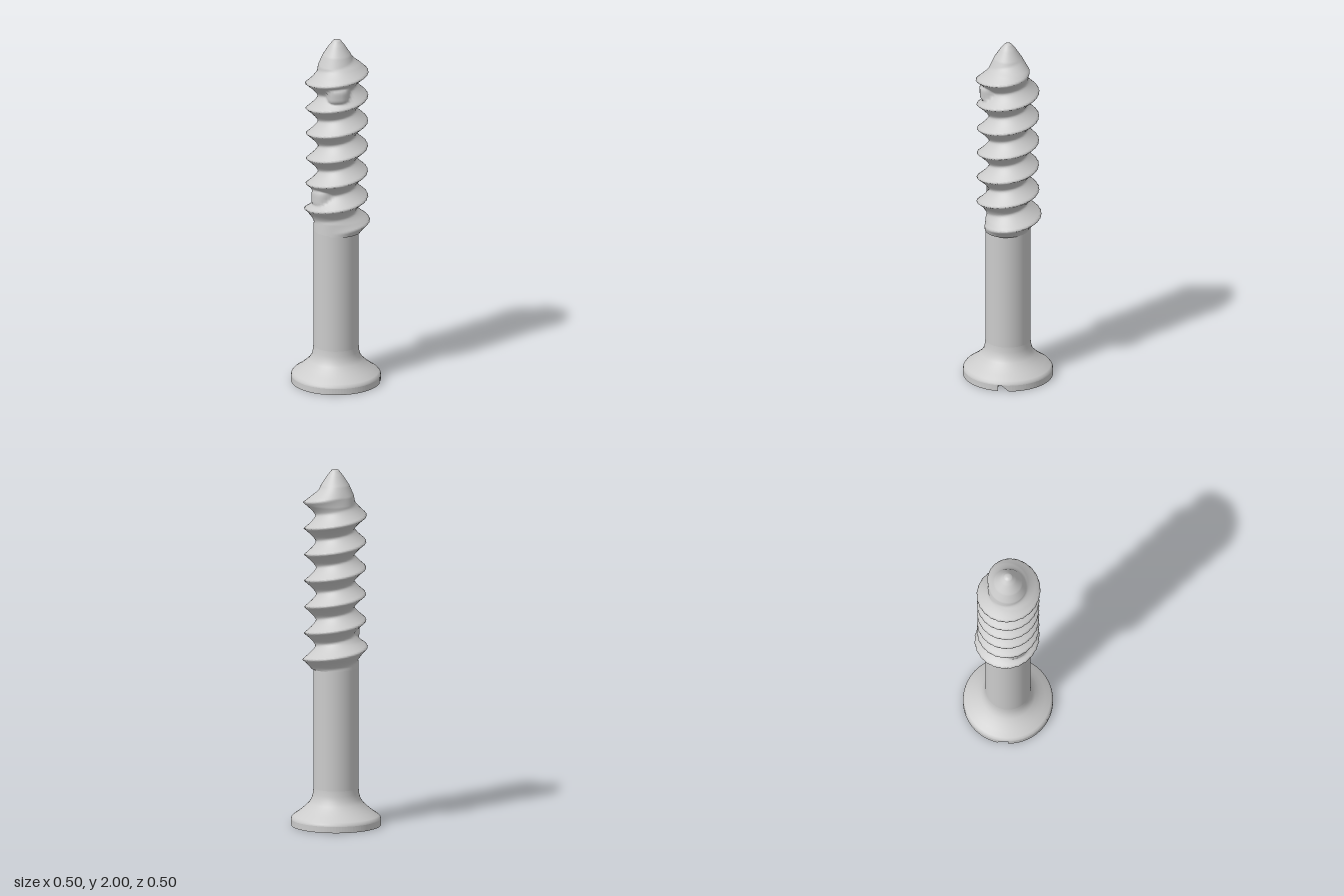
import * as THREE from 'three';
import { mergeVertices } from 'three/addons/utils/BufferGeometryUtils.js';

const SEG = 48;
const PITCH = 0.147;
const material = new THREE.MeshStandardMaterial({ color: 0xcccccc });
const { smoothstep } = THREE.MathUtils;

function part(name, geometry) {
  const mesh = new THREE.Mesh(geometry, material);
  mesh.name = name;
  return mesh;
}

const toPoints = (list) => list.map(([r, y]) => new THREE.Vector2(r, y));

// Soft filled-in patch in the groove around a given angle and height
function patch(a, y, a0, y0, wa, wy, height) {
  const da = Math.atan2(Math.sin(a - a0), Math.cos(a - a0));
  return height * Math.exp(-((da / wa) ** 4) - ((y - y0) / wy) ** 4);
}

// Height of the thread ridge above the core
function ridge(a, y) {
  const s = (y - 1.52) / PITCH + a / (2 * Math.PI);
  const n = Math.round(s);
  const crestY = 1.52 + PITCH * (n - a / (2 * Math.PI));
  const fade = smoothstep(crestY, 0.89, 0.94) * (1 - smoothstep(crestY, 1.81, 1.865));
  const h = 0.069 * fade * Math.pow(1 - 2 * Math.abs(s - n), 1.35);
  return Math.max(h,
    patch(a, y, 2.5, 1.09, 0.6, 0.07, 0.042),
    patch(a, y, 1.4, 1.71, 0.5, 0.06, 0.05));
}

// Threaded core and tip: a fine lathe pushed outwards along a helix
function threadGeometry() {
  const core = [[0.125, 0.88], [0.122, 0.95], [0.106, 1.03], [0.104, 1.3], [0.106, 1.7],
    [0.112, 1.8], [0.104, 1.85], [0.078, 1.91], [0.042, 1.965], [0.02, 1.993], [0, 2]];
  const profile = [];
  for (let i = 0; i < core.length - 1; i++) {
    const [r0, y0] = core[i], [r1, y1] = core[i + 1];
    const n = Math.max(2, Math.round((y1 - y0) / 0.0062));
    for (let k = 0; k < n; k++) {
      profile.push([r0 + (r1 - r0) * k / n, y0 + (y1 - y0) * k / n]);
    }
  }
  profile.push(core[core.length - 1]);
  let geo = new THREE.LatheGeometry(toPoints(profile), SEG);
  const p = geo.attributes.position;
  for (let i = 0; i < p.count; i++) {
    const x = p.getX(i), y = p.getY(i), z = p.getZ(i);
    const r = Math.hypot(x, z);
    if (r < 1e-5) continue;
    const k = 1 + ridge(Math.atan2(z, x), y) / r;
    const shift = 0.005 * smoothstep(y, 0.9, 1.1);
    p.setXYZ(i, x * k + shift, y, z * k);
  }
  geo.deleteAttribute('uv');
  geo.deleteAttribute('normal');
  geo = mergeVertices(geo, 1e-5);
  geo.computeVertexNormals();
  return geo;
}

// Head underside with a slanted slot along x, swept in strips across z
function slottedFaceGeometry() {
  const R = 0.248, top = 0.035;
  const stations = [];
  for (let i = 0; i <= SEG; i++) {
    const z = -R * Math.cos(Math.PI * i / SEG);
    if (z < -0.016 || z > 0.047) stations.push([z, 0]);
  }
  stations.push([-0.015, 0], [0.01, 0.022], [0.032, 0.04], [0.045, 0.045], [0.0455, 0]);
  stations.sort((a, b) => a[0] - b[0]);
  const section = ([z, y]) => {
    const x = Math.sqrt(Math.max(0, R * R - z * z));
    const rim = Math.max(top, y);
    return [[-x, rim, z], [-x, y, z], [x, y, z], [x, rim, z]];
  };
  const pos = [];
  for (let i = 0; i < stations.length - 1; i++) {
    const a = section(stations[i]), b = section(stations[i + 1]);
    for (let k = 0; k < 3; k++) {
      pos.push(...a[k], ...a[k + 1], ...b[k + 1], ...a[k], ...b[k + 1], ...b[k]);
    }
  }
  const geo = new THREE.BufferGeometry();
  geo.setAttribute('position', new THREE.Float32BufferAttribute(pos, 3));
  geo.computeVertexNormals();
  return geo;
}

export function createModel() {
  const group = new THREE.Group();
  group.name = 'screw';

  // Flared head
  const flare = toPoints([[0.248, 0.034], [0.246, 0.045], [0.236, 0.056], [0.205, 0.077],
    [0.175, 0.102], [0.15, 0.126], [0.135, 0.15], [0.127, 0.18], [0.125, 0.21]]);
  group.add(part('headFlare', new THREE.LatheGeometry(flare, SEG)));
  group.add(part('slottedHeadFace', slottedFaceGeometry()));

  // Plain shank
  const shank = new THREE.CylinderGeometry(0.125, 0.125, 0.68, SEG, 1, true);
  shank.translate(0, 0.545, 0);
  group.add(part('shank', shank));

  // Thread and pointed tip
  group.add(part('threadAndTip', threadGeometry()));
  return group;
}
